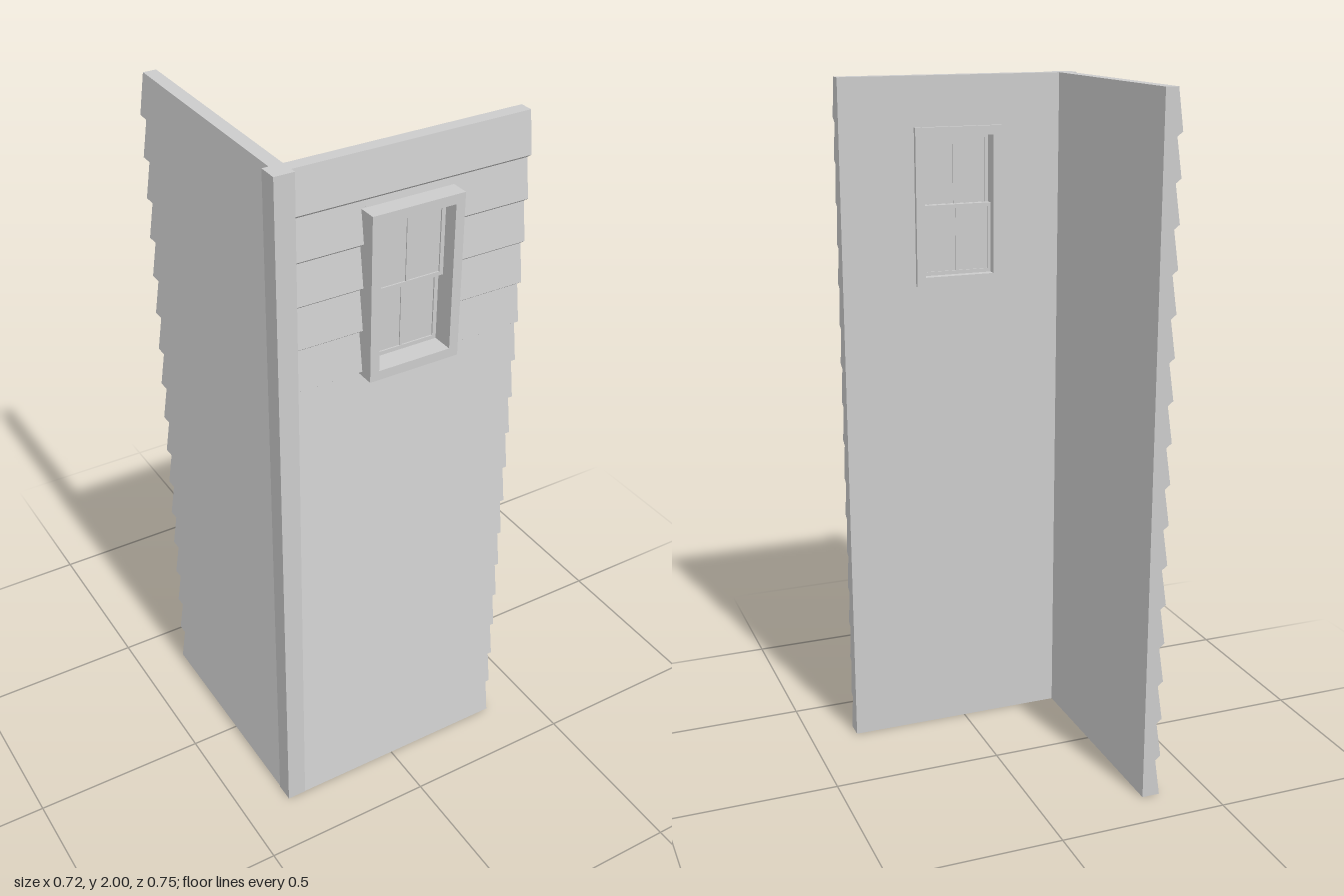
import * as THREE from 'three';

const BOARDS = 17, HEIGHT = 2, PITCH = HEIGHT / BOARDS;
const THICK = 0.053, LAP = 0.016, LIP = 0.006;
const WIN = { x0: -0.122, x1: 0.139, y0: 1.405, y1: 1.858 };
const FRONT_BACK = 0.285, SIDE_INNER = -0.305;

const material = new THREE.MeshStandardMaterial({ color: 0xcccccc, flatShading: true });

function add(parent, name, geometry) {
  const mesh = new THREE.Mesh(geometry, material);
  mesh.name = name;
  parent.add(mesh);
  return mesh;
}

// Box given by its limits on each axis
function box(x0, x1, y0, y1, z0, z1) {
  return new THREE.BoxGeometry(x1 - x0, y1 - y0, z1 - z0)
    .translate((x0 + x1) / 2, (y0 + y1) / 2, (z0 + z1) / 2);
}

// Lapped-board wall section between two heights, extruded along z; boards face -x
function siding(y0, y1, length) {
  const depthAt = (y) => THICK - LAP * ((y / PITCH) % 1);
  const points = [[0, y0], [-depthAt(y0), y0]];
  for (let i = 1; i < BOARDS; i++) {
    const y = i * PITCH;
    if (y - LIP > y0 && y + LIP < y1) {
      points.push([LAP - THICK, y - LIP], [-THICK, y + LIP]);
    }
  }
  const topDepth = y1 >= HEIGHT ? THICK - LAP : depthAt(y1);
  points.push([-topDepth, y1], [0, y1]);
  const shape = new THREE.Shape(points.map(([x, y]) => new THREE.Vector2(x, y)));
  return new THREE.ExtrudeGeometry(shape, { depth: length, bevelEnabled: false });
}

function rectPoints(x0, x1, y0, y1) {
  return [[x0, y0], [x1, y0], [x1, y1], [x0, y1]].map(([x, y]) => new THREE.Vector2(x, y));
}

// Rectangular ring with one rectangular opening
function ring(x0, x1, y0, y1, border, z0, z1) {
  const shape = new THREE.Shape(rectPoints(x0, x1, y0, y1));
  shape.holes.push(new THREE.Path(
    rectPoints(x0 + border, x1 - border, y0 + border, y1 - border)));
  return new THREE.ExtrudeGeometry(shape, { depth: z1 - z0, bevelEnabled: false })
    .translate(0, 0, z0);
}

// Sash: surround, centre bar and pane
function addSash(parent, name, y0, y1, z0, z1) {
  const x0 = -0.098, x1 = 0.113, mid = (x0 + x1) / 2, inset = 0.004;
  const sash = new THREE.Group();
  sash.name = name;
  add(sash, 'sashSurround', ring(x0, x1, y0, y1, 0.011, z0, z1));
  add(sash, 'glazingBar', box(mid - 0.004, mid + 0.004, y0 + 0.011, y1 - 0.011, z0 + 0.001, z1 - 0.001));
  add(sash, 'pane', box(x0 + 0.005, x1 - 0.005, y0 + 0.005, y1 - 0.005, z0 + inset, z1 - inset));
  parent.add(sash);
}

export function createModel() {
  const model = new THREE.Group();
  model.name = 'cornerWall';

  // Front wall, split around the window opening
  const frontWall = new THREE.Group();
  frontWall.name = 'frontWall';
  const cutL = WIN.x0 + 0.012, cutR = WIN.x1 - 0.012;
  const sections = [
    ['sidingRightOfWindow', SIDE_INNER, cutL, 0, HEIGHT],
    ['sidingLeftOfWindow', cutR, 0.358, 0, HEIGHT],
    ['sidingBelowWindow', cutL, cutR, 0, WIN.y0 + 0.02],
    ['sidingAboveWindow', cutL, cutR, WIN.y1 - 0.015, HEIGHT],
  ];
  for (const [name, x0, x1, y0, y1] of sections) {
    add(frontWall, name, siding(y0, y1, x1 - x0).rotateY(Math.PI / 2).translate(x0, 0, FRONT_BACK));
  }
  model.add(frontWall);

  // Side wall and corner post
  add(model, 'sideWall', siding(0, HEIGHT, FRONT_BACK + 0.378).translate(SIDE_INNER, 0, -0.378));
  add(model, 'cornerPost', box(-0.36, SIDE_INNER, 0, HEIGHT, FRONT_BACK, 0.339));

  // Double-hung window
  const win = new THREE.Group();
  win.name = 'window';
  add(win, 'windowFrame', ring(WIN.x0, WIN.x1, WIN.y0, WIN.y1, 0.026, 0.272, 0.375));
  addSash(win, 'upperSash', 1.624, 1.832, 0.316, 0.333);
  addSash(win, 'lowerSash', 1.431, 1.635, 0.297, 0.314);
  model.add(win);

  return model;
}
